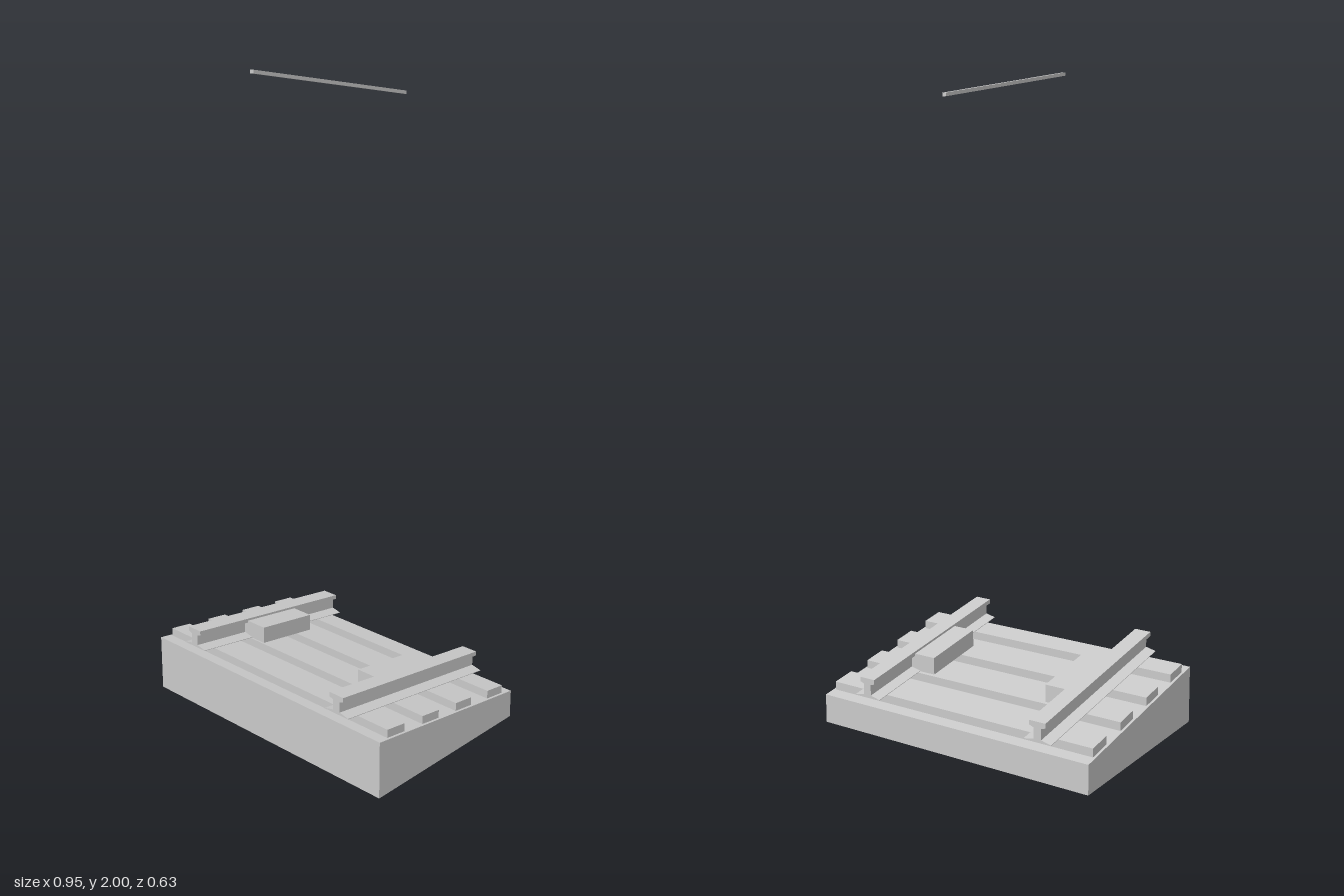
import * as THREE from 'three';

const SLOPE = 0.1438;  // rise per unit of z
const DECK = 0.135;    // height of the bed surface at z = 0
const HALF_Z = 0.313;

export function createModel() {
  const model = new THREE.Group();
  const material = new THREE.MeshStandardMaterial({ color: 0xcccccc, flatShading: true });

  // Shear a geometry so that it follows the incline, then add it
  const addSloped = (name, geometry, lift = DECK) => {
    const p = geometry.attributes.position;
    for (let i = 0; i < p.count; i++) p.setY(i, p.getY(i) + lift + SLOPE * p.getZ(i));
    geometry.computeVertexNormals();
    const mesh = new THREE.Mesh(geometry, material);
    mesh.name = name;
    model.add(mesh);
  };
  const box = (w, h, d, x, y, z) => new THREE.BoxGeometry(w, h, d).translate(x, y, z);

  // Wedge-shaped track bed with a level underside
  const bed = new THREE.BoxGeometry(0.946, 1, HALF_Z * 2);
  const p = bed.attributes.position;
  for (let i = 0; i < p.count; i++) {
    p.setY(i, p.getY(i) > 0 ? DECK + SLOPE * p.getZ(i) : 0);
  }
  bed.computeVertexNormals();
  const bedMesh = new THREE.Mesh(bed, material);
  bedMesh.name = 'trackBed';
  model.add(bedMesh);

  // Sleepers
  for (let i = 0; i < 4; i++) {
    addSloped('sleeper', box(0.93, 0.026, 0.075, 0, 0.013, 0.234 - i * 0.157));
  }

  // Right half of the rail section: foot, web, head
  const half = [
    [0.046, 0.026], [0.046, 0.0275], [0.013, 0.035],
    [0.013, 0.068], [0.027, 0.073], [0.027, 0.087],
  ];
  const outline = [...half, ...half.map(([x, y]) => [-x, y]).reverse()];
  const section = new THREE.Shape(outline.map(([x, y]) => new THREE.Vector2(x, y)));

  for (const side of [-1, 1]) {
    // Rail
    const rail = new THREE.ExtrudeGeometry(section, { depth: HALF_Z * 2, bevelEnabled: false });
    addSloped('rail', rail.translate(side * 0.306, 0, -HALF_Z));
    // Block on the inner side of the rail
    addSloped('railBlock', box(0.09, 0.054, 0.214, side * 0.25, 0.053, 0));
  }

  // Overhead wire, parallel to the track
  addSloped('overheadWire', box(0.013, 0.01, HALF_Z * 2, 0, 0, 0), 1.95);

  return model;
}
